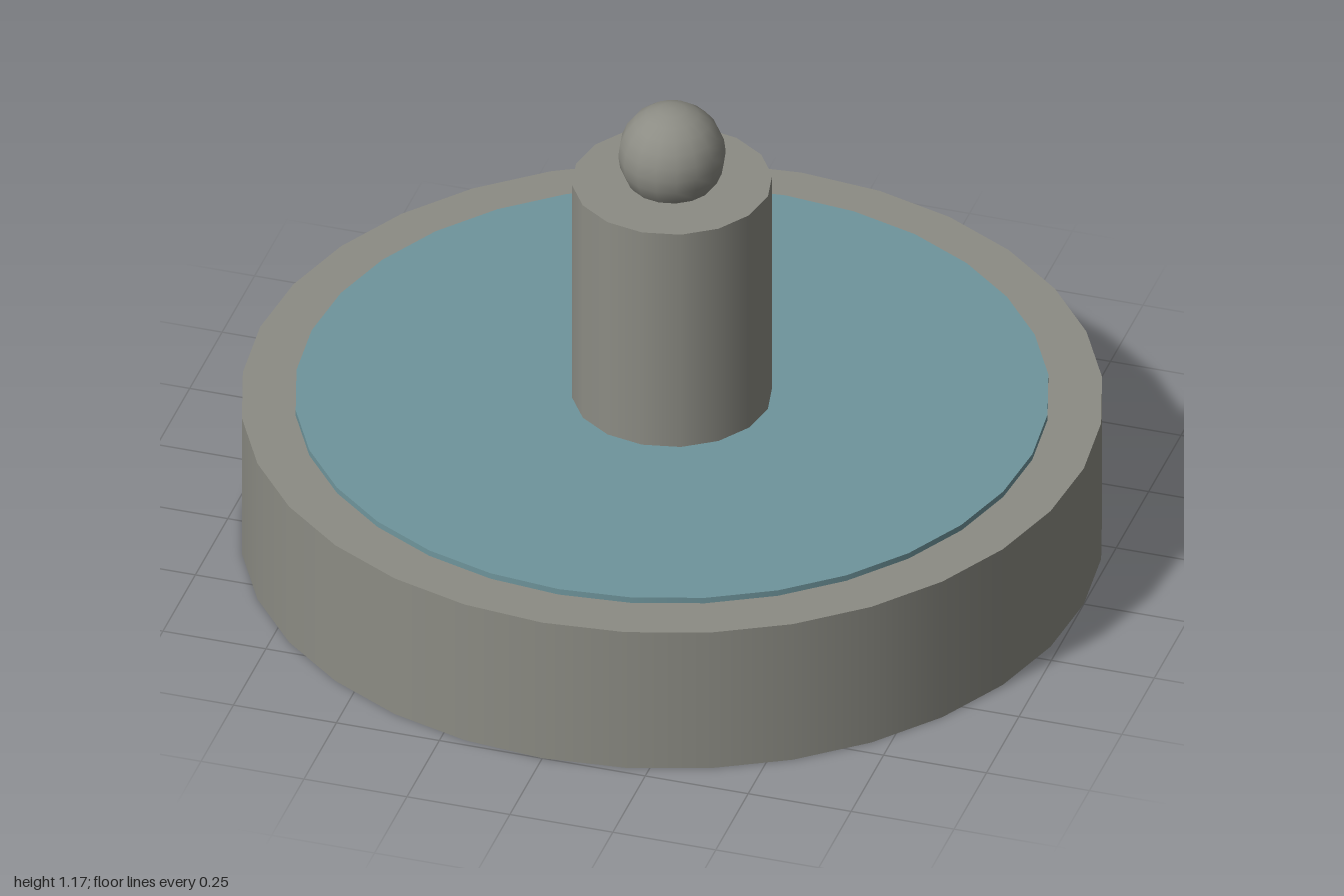
import * as THREE from 'three';

const stone = new THREE.MeshStandardMaterial({ name: 'stone', color: 0x8c8c84 });
const water = new THREE.MeshStandardMaterial({ name: 'water', color: 0x6f959c });

export function createModel() {
  const model = new THREE.Group();
  model.name = 'fountain';

  const add = (name, geometry, material, y) => {
    const mesh = new THREE.Mesh(geometry, material);
    mesh.name = name;
    mesh.position.y = y;
    model.add(mesh);
  };

  // Upright drum from its bottom height to its top height
  const drum = (name, radius, bottom, top, sides, material) =>
    add(name, new THREE.CylinderGeometry(radius, radius, top - bottom, sides), material, (bottom + top) / 2);

  drum('basin', 1, 0, 0.375, 32, stone);
  drum('waterSurface', 0.875, 0.365, 0.39, 32, water);
  drum('pillar', 0.233, 0.375, 0.977, 16, stone);

  // Ball finial sunk slightly into the pillar top
  add('finial', new THREE.SphereGeometry(0.125, 16, 12), stone, 1.05);

  return model;
}
